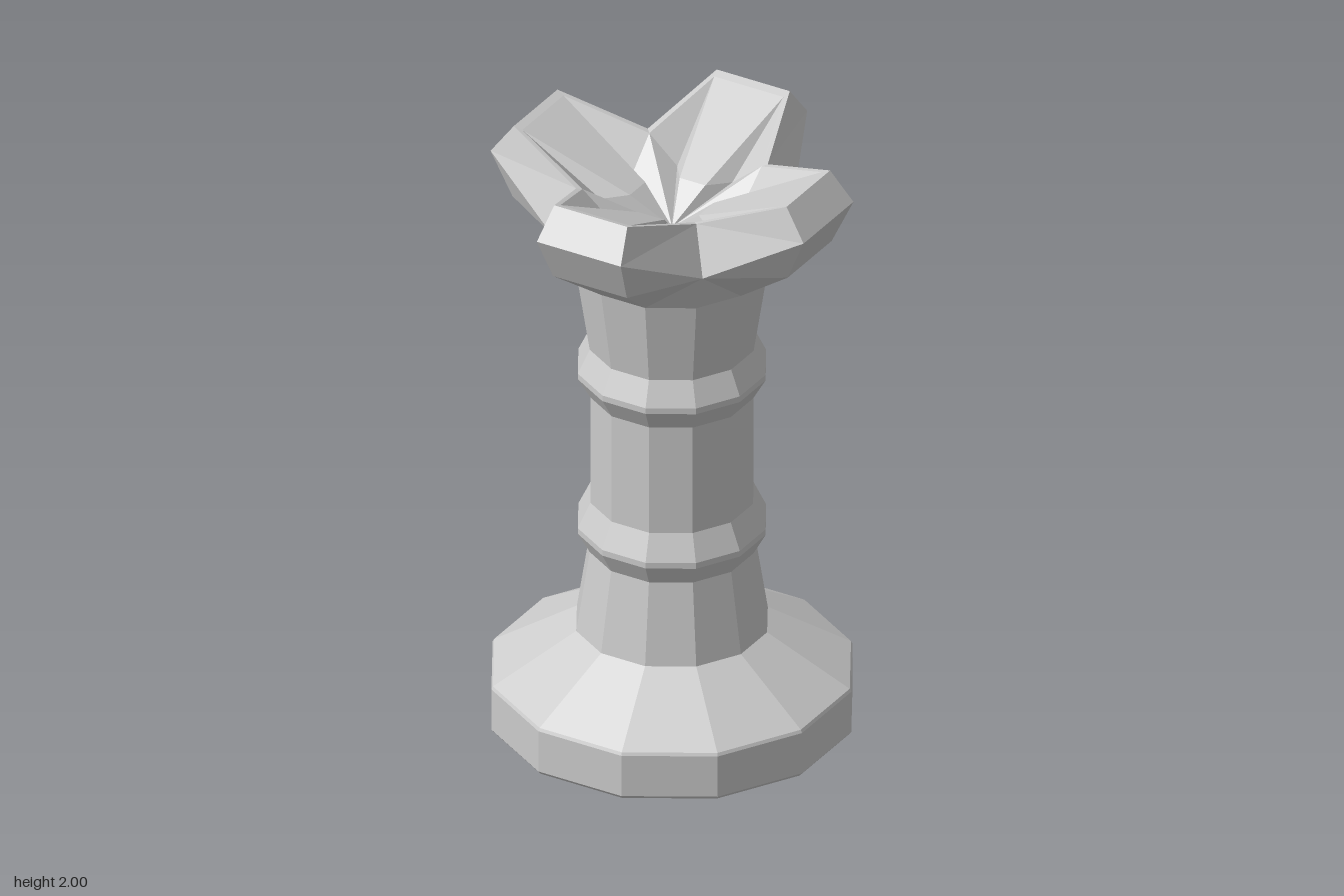
import * as THREE from 'three';

const material = new THREE.MeshStandardMaterial({ color: 0xcccccc, flatShading: true });

// Mesh from a flat list of corner points, three per triangle
function facets(points, name) {
  const geometry = new THREE.BufferGeometry().setFromPoints(points);
  geometry.computeVertexNormals();
  const mesh = new THREE.Mesh(geometry, material);
  mesh.name = name;
  return mesh;
}

function lathe(profile, name) {
  const points = profile.map(([r, y]) => new THREE.Vector2(r, y));
  const mesh = new THREE.Mesh(new THREE.LatheGeometry(points, 12), material);
  mesh.name = name;
  return mesh;
}

// Twelve-point ring: every third point is a valley, the others are petal corners
function crownRing([valleyR, valleyY, petalR, petalY]) {
  return Array.from({ length: 12 }, (_, i) => {
    const a = (i * Math.PI) / 6;
    const r = i % 3 ? petalR : valleyR;
    return new THREE.Vector3(r * Math.sin(a), i % 3 ? petalY : valleyY, r * Math.cos(a));
  });
}

// Outer shell of the crown, lofted through the rings
function crownShell() {
  const rings = [
    [0.305, 1.6, 0.305, 1.6],
    [0.385, 1.75, 0.512, 1.75],
    [0.385, 1.75, 0.582, 1.9],
    [0.305, 1.9, 0.507, 2],
    [0.285, 1.895, 0.48, 1.99],
  ].map(crownRing);
  const out = [];
  for (let k = 0; k < rings.length - 1; k++) {
    for (let i = 0; i < 12; i++) {
      const j = (i + 1) % 12;
      const a = rings[k][i], b = rings[k][j], c = rings[k + 1][j], d = rings[k + 1][i];
      // The split runs the same way on both sides of each valley
      const tris = i % 3 === 2 ? [[a, b, c], [a, c, d]] : [[a, b, d], [b, c, d]];
      for (const [p, q, r] of tris) {
        if (p.distanceTo(q) > 1e-6 && q.distanceTo(r) > 1e-6 && r.distanceTo(p) > 1e-6) out.push(p, q, r);
      }
    }
  }
  return facets(out, 'crownShell');
}

// Hollow of the crown: four raised petal floors with grooves beside them
function crownHollow() {
  const out = [];
  const V = new THREE.Vector3(0, 1.895, 0.285);
  const R = new THREE.Vector3(0.24, 1.99, 0.4157);
  const G = new THREE.Vector3(0.07, 1.81, 0.21);
  const T = new THREE.Vector3(0.055, 1.82, 0.12);
  const C = new THREE.Vector3(0, 1.72, 0);
  const swap = (p) => new THREE.Vector3(p.z, p.y, p.x);
  const half = [[V, R, G], [V, G, C], [R, T, G], [G, T, C]];
  const quarter = [
    ...half,
    ...half.map(([a, b, c]) => [swap(a), swap(c), swap(b)]),
    [R, swap(R), swap(T)], [R, swap(T), T], [T, swap(T), C],
  ].flat();
  for (let q = 0; q < 4; q++) {
    const up = new THREE.Vector3(0, 1, 0);
    out.push(...quarter.map((p) => p.clone().applyAxisAngle(up, (q * Math.PI) / 2)));
  }
  return facets(out, 'crownHollow');
}

export function createModel() {
  const model = new THREE.Group();
  model.name = 'chessRook';

  model.add(lathe([[0, 0], [0.565, 0], [0.575, 0.012], [0.575, 0.155], [0.57, 0.165], [0.305, 0.325]], 'base'));
  model.add(lathe([
    [0.305, 0.325], [0.262, 0.6],
    [0.3, 0.67], [0.3, 0.69], [0.26, 0.775],
    [0.26, 1.15], [0.3, 1.22], [0.3, 1.24],
    [0.262, 1.32], [0.305, 1.6],
  ], 'column'));

  const crown = new THREE.Group();
  crown.name = 'crown';
  crown.add(crownShell(), crownHollow());
  model.add(crown);
  return model;
}
